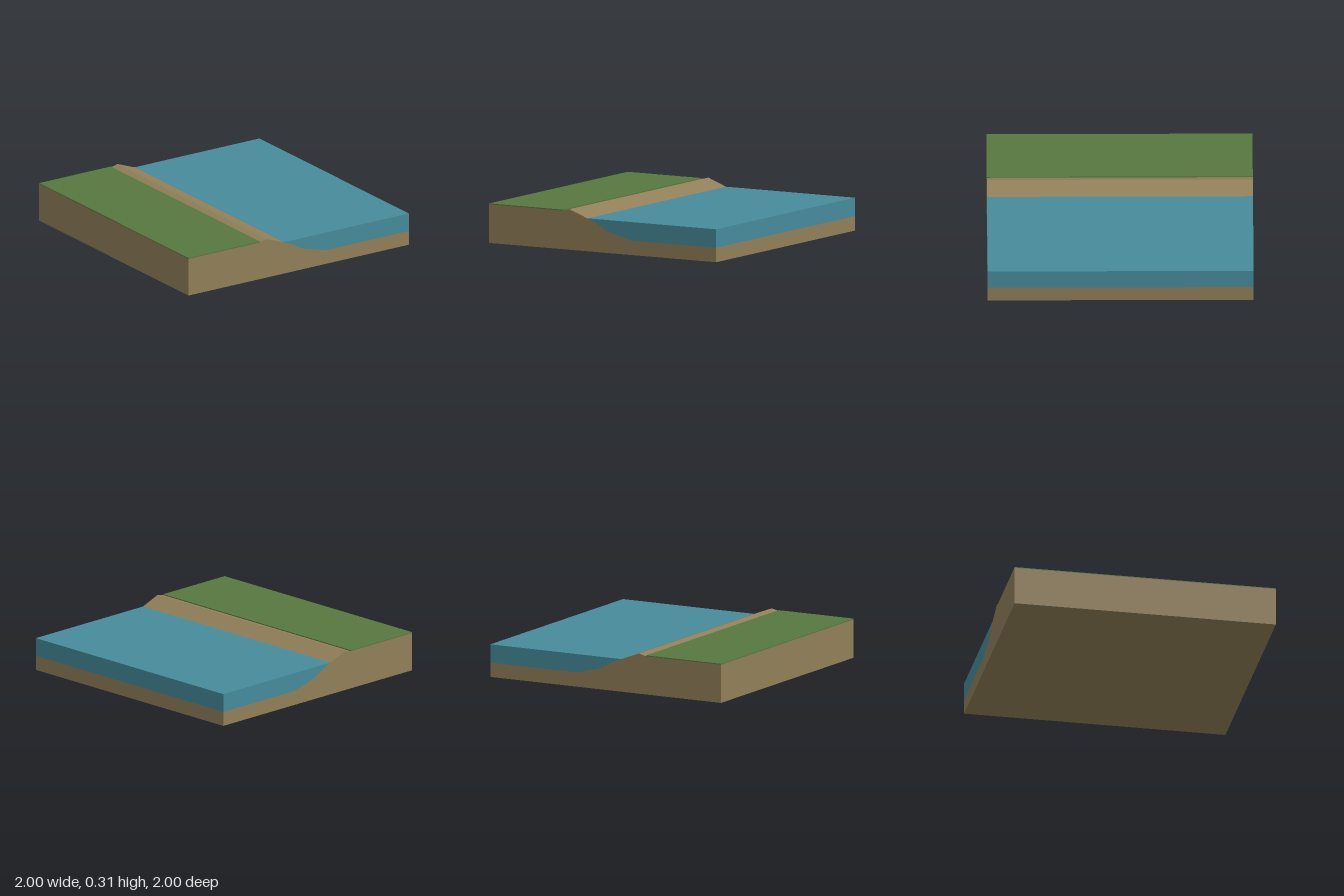
import * as THREE from 'three';

const LENGTH = 2;

// Riverbed profile, from the deep right edge up to the waterline
const BED = [
  [1, 0.11], [0.26, 0.11], [0.2, 0.122], [0.11, 0.145], [0.04, 0.165],
  [0, 0.185], [-0.05, 0.215], [-0.135, 0.25],
];

// Extrudes a cross-section along z, centred on z = 0
function slab(name, points, material) {
  const shape = new THREE.Shape(points.map(([x, y]) => new THREE.Vector2(x, y)));
  const geometry = new THREE.ExtrudeGeometry(shape, { depth: LENGTH, bevelEnabled: false });
  geometry.translate(0, 0, -LENGTH / 2);
  const mesh = new THREE.Mesh(geometry, material);
  mesh.name = name;
  return mesh;
}

function flatColor(name, color) {
  const material = new THREE.MeshStandardMaterial({ color });
  material.name = name;
  return material;
}

export function createModel() {
  const earth = flatColor('earth brown', 0x917f58);
  const grass = flatColor('grass green', 0x56773f);
  const water = flatColor('water blue', 0x468b9b);

  const group = new THREE.Group();
  group.name = 'riverbankTile';

  // Ground with a low ridge beside the grass and a sloping bed
  group.add(slab('ground', [
    [-1, 0], [1, 0], ...BED, [-0.29, 0.308], [-0.35, 0.293], [-1, 0.293],
  ], earth));

  // Thin turf layer on the raised bank
  group.add(slab('turf', [
    [-1, 0.293], [-0.35, 0.293], [-0.35, 0.3], [-1, 0.3],
  ], grass));

  // Water filling the bed up to its flat surface
  group.add(slab('water', [...BED, [1, 0.25]].reverse(), water));

  return group;
}
